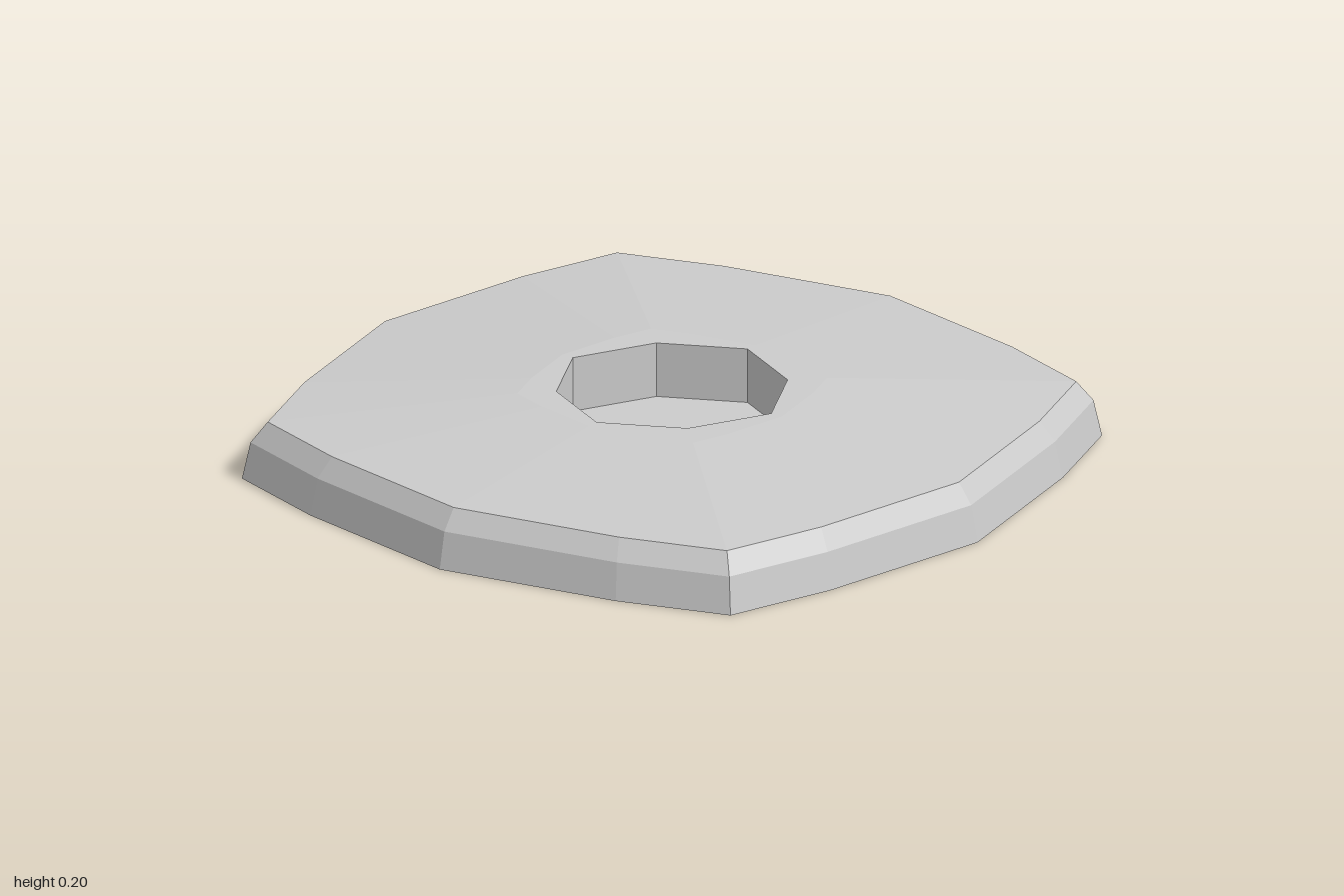
import * as THREE from 'three';

// Repeats the points of one quarter four times around the y axis: [x, z] pairs
function aroundAxis(quarter) {
  const ring = [];
  for (let q = 0; q < 4; q++) {
    for (const [x, z] of quarter) {
      ring.push([[x, z], [-z, x], [-x, -z], [z, -x]][q]);
    }
  }
  return ring;
}

// Joins rings of equal point count, ordered from the bottom centre outwards, up and back in
function loft(rings) {
  const n = rings[0].points.length;
  const positions = [];
  const index = [];
  for (const { points, y, scale = 1 } of rings) {
    for (const [x, z] of points) positions.push(x * scale, y, z * scale);
  }
  for (let r = 0; r < rings.length - 1; r++) {
    for (let i = 0; i < n; i++) {
      const a = r * n + i, b = r * n + (i + 1) % n;
      index.push(a, a + n, b, b, a + n, b + n);
    }
  }
  const geometry = new THREE.BufferGeometry();
  geometry.setAttribute('position', new THREE.Float32BufferAttribute(positions, 3));
  geometry.setIndex(index);
  const flat = geometry.toNonIndexed();
  flat.computeVertexNormals();
  return flat;
}

// Flat cap over a ring, facing up or down
function cap(points, y, up) {
  const shape = new THREE.Shape(points.map(([x, z]) => new THREE.Vector2(x, up ? -z : z)));
  const geometry = new THREE.ShapeGeometry(shape);
  geometry.rotateX(up ? -Math.PI / 2 : Math.PI / 2);
  geometry.translate(0, y, 0);
  return geometry;
}

export function createModel() {
  const group = new THREE.Group();
  group.name = 'basePlate';
  const material = new THREE.MeshStandardMaterial({ color: 0xcccccc, flatShading: true });
  const add = (name, geometry) => {
    const mesh = new THREE.Mesh(geometry, material);
    mesh.name = name;
    group.add(mesh);
  };

  const outline = aroundAxis([[1, 0], [0.9, 0.5], [0.8, 0.8], [0.5, 0.9]]);
  const socket = aroundAxis([[0.325, 0], [0.27, 0.108], [0.215, 0.215], [0.108, 0.27]]);

  // Bevelled outer wall
  add('rim', loft([
    { points: outline, y: 0 },
    { points: outline, y: 0.1, scale: 0.98 },
    { points: outline, y: 0.155, scale: 0.94 },
  ]));

  // Gently sloping top with a flat collar round the socket
  add('top', loft([
    { points: outline, y: 0.155, scale: 0.94 },
    { points: outline, y: 0.2, scale: 0.36 },
    { points: socket, y: 0.2 },
  ]));

  // Eight-sided blind socket
  add('socketWall', loft([
    { points: socket, y: 0.2 },
    { points: socket, y: 0.05 },
  ]));
  add('socketFloor', cap(socket, 0.05, true));

  add('underside', cap(outline, 0, false));
  return group;
}
